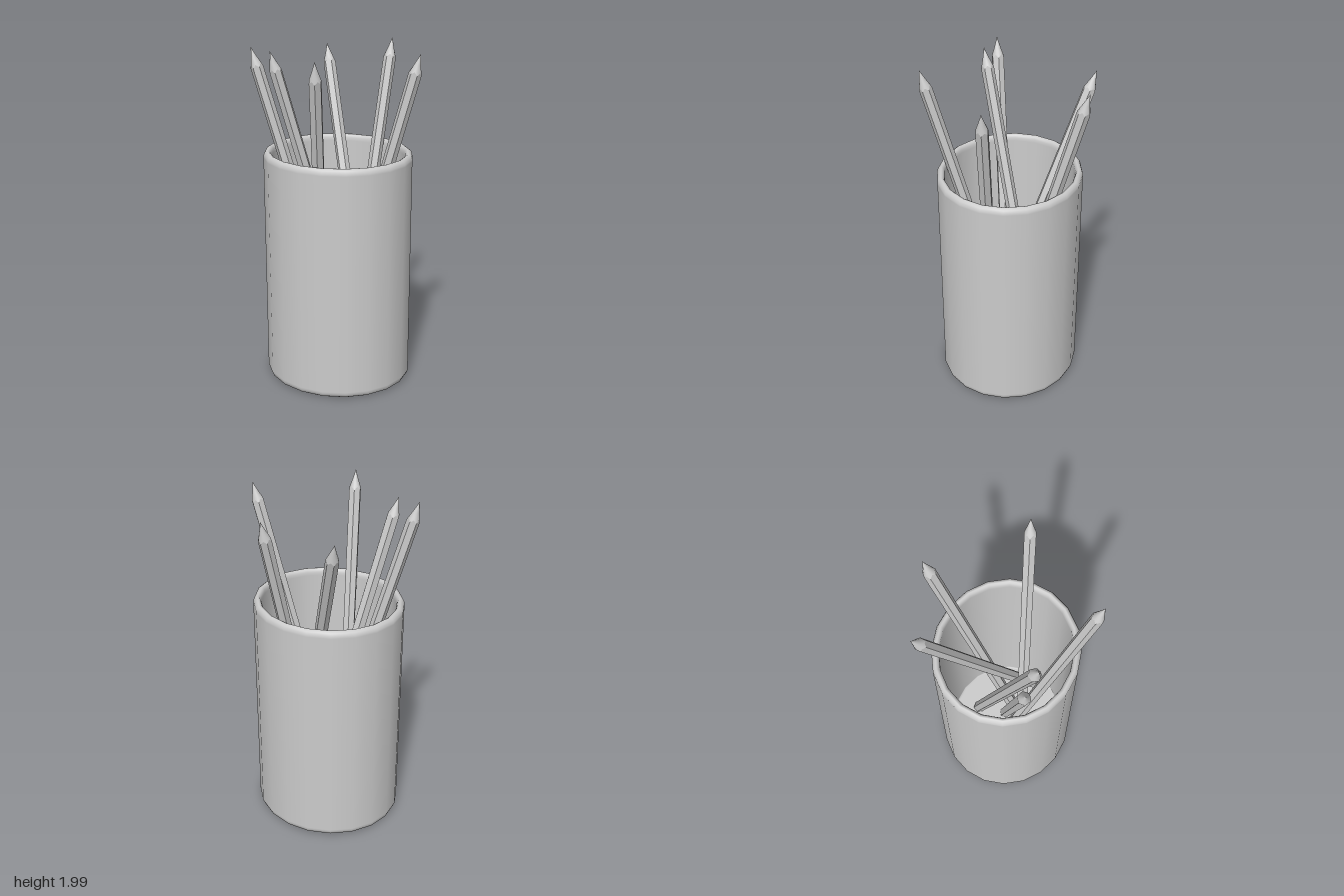
import * as THREE from 'three';
import { mergeVertices } from 'three/addons/utils/BufferGeometryUtils.js';

const material = new THREE.MeshStandardMaterial({ color: 0xcccccc });
const flatMaterial = new THREE.MeshStandardMaterial({ color: 0xcccccc, flatShading: true });

const RADIUS = 0.037;    // pencil radius at the corners
const CONE = 0.12;       // length of the sharpened end
const SCALLOP = 0.018;   // how far the flats rise above the corners

function lathe(points, sides) {
  return new THREE.LatheGeometry(points.map(([r, y]) => new THREE.Vector2(r, y)), sides);
}

// Turns a 12-sided lathe into a hexagon with a scalloped edge at height y0
function hexagonal(geometry, y0) {
  const p = geometry.attributes.position;
  for (let i = 0; i < p.count; i++) {
    const x = p.getX(i), y = p.getY(i), z = p.getZ(i);
    const r = Math.hypot(x, z);
    if (r < RADIUS - 1e-4) continue;
    const step = Math.round(Math.atan2(x, z) / (Math.PI / 6));
    if (step % 2 === 0) continue;
    const k = Math.cos(Math.PI / 6);
    p.setXYZ(i, x * k, Math.abs(y - y0) < 1e-4 ? y + SCALLOP : y, z * k);
  }
  return geometry;
}

// Hexagonal pencil leaning from its foot to its tip
function makePencil(foot, tip) {
  const group = new THREE.Group();
  group.name = 'pencil';
  const d = tip.clone().sub(foot);
  const length = d.length();
  const shoulder = length - CONE;

  const shaft = new THREE.Mesh(
    hexagonal(lathe([[0, 0], [RADIUS, 0], [RADIUS, shoulder]], 12), shoulder), flatMaterial);
  shaft.name = 'pencilShaft';

  let coneGeometry = hexagonal(lathe(
    [[RADIUS, shoulder], [0.019, shoulder + 0.055], [0.006, shoulder + 0.098], [0, length]], 12), shoulder);
  coneGeometry.deleteAttribute('uv');
  coneGeometry.deleteAttribute('normal');
  coneGeometry = mergeVertices(coneGeometry);
  coneGeometry.computeVertexNormals();
  const point = new THREE.Mesh(coneGeometry, material);
  point.name = 'pencilPoint';

  group.add(shaft, point);
  group.position.copy(foot);
  group.rotation.set(Math.acos(d.y / length), Math.atan2(d.x, d.z), 0, 'YXZ');
  return group;
}

export function createModel() {
  const model = new THREE.Group();
  model.name = 'pencilCup';

  // Slightly oval cup with rounded rim and foot, hollow inside
  const cup = new THREE.Mesh(lathe([
    [0, 0], [0.405, 0], [0.418, 0.002], [0.433, 0.011], [0.44, 0.028], [0.44, 0.04],
    [0.44, 1.35], [0.44, 1.362], [0.433, 1.379], [0.42, 1.388], [0.412, 1.388],
    [0.402, 1.382], [0.396, 1.368], [0.395, 1.35],
    [0.382, 0.07], [0.38, 0.06], [0.37, 0.058], [0, 0.058],
  ], 20), material);
  cup.name = 'cup';
  cup.scale.z = 0.415 / 0.44;
  cup.position.set(-0.035, 0, 0.005);
  model.add(cup);

  // Pencils: foot x, y, z then tip x, y, z
  [
    [0.047, 0.07, 0.05, 0.049, 1.985, -0.475],
    [0.27, 0.08, 0.12, -0.355, 1.93, -0.385],
    [-0.035, 0.07, 0.11, 0.465, 1.985, -0.04],
    [0.01, 0.07, -0.02, -0.455, 1.985, 0.255],
    [-0.015, 0.07, -0.2, -0.31, 1.975, 0.275],
    [-0.13, 0.07, 0.02, 0.115, 1.985, 0.475],
  ].forEach(([a, b, c, x, y, z]) =>
    model.add(makePencil(new THREE.Vector3(a, b, c), new THREE.Vector3(x, y, z))));

  return model;
}
